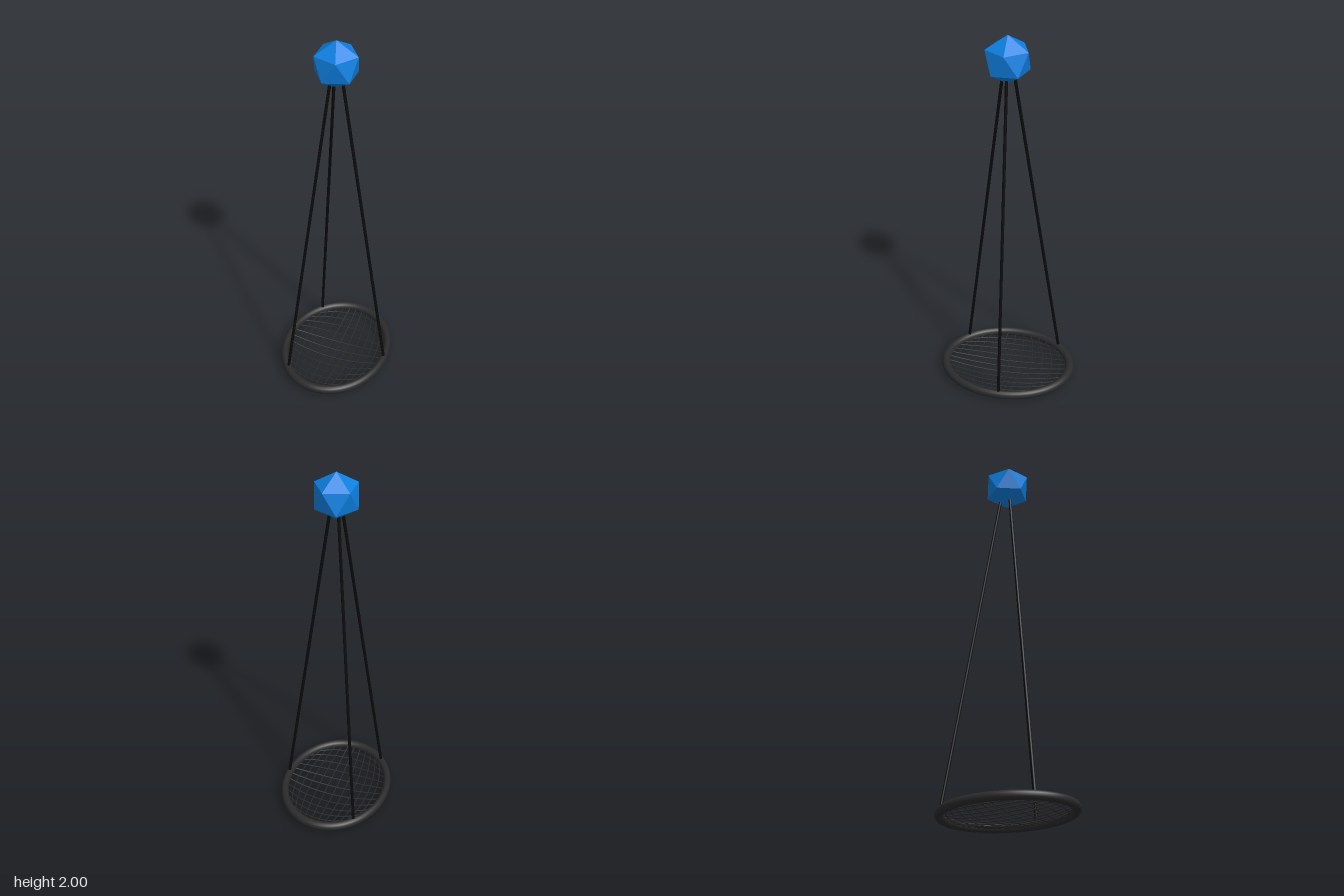
import * as THREE from 'three';

const RIM_X = 0.284, RIM_Z = 0.35, RIM_Y = 0.037;

function mesh(name, geometry, color, flatShading = false) {
  const m = new THREE.Mesh(geometry, new THREE.MeshStandardMaterial({ color, flatShading }));
  m.name = name;
  return m;
}

// Point on the sagging net; a and b are angles across the width and length
function netPoint(a, b) {
  const u = Math.sin(a) / 0.84, v = Math.sin(b) / 0.84;
  const x = 0.321 * Math.sin(a) * Math.sqrt(1 - 0.5 * v * v);
  const z = 0.417 * Math.sin(b) * Math.sqrt(1 - 0.5 * u * u);
  const r2 = (x / RIM_X) ** 2 + (z / RIM_Z) ** 2;
  return { p: new THREE.Vector3(x, RIM_Y - 0.034 * (1 - r2), z), r2 };
}

// One net cord, cut off where it meets the rim
function netCord(fixed, lengthwise) {
  const at = t => (lengthwise ? netPoint(fixed, t) : netPoint(t, fixed));
  let end = 0;
  while (end < 1.2 && at(end).r2 < 1) end += 0.005;
  const points = [];
  for (let i = -8; i <= 8; i++) points.push(at((end * i) / 8).p);
  return new THREE.TubeGeometry(new THREE.CatmullRomCurve3(points), 32, 0.0032, 6);
}

export function createModel() {
  const model = new THREE.Group();
  model.name = 'netSwing';

  // Oval padded rim
  const rim = mesh('rim', new THREE.TorusGeometry(RIM_Z, 0.024, 16, 72).rotateX(Math.PI / 2), 0x2b2b2b);
  rim.scale.x = RIM_X / RIM_Z;
  rim.position.y = RIM_Y;
  model.add(rim);

  // Woven seat net
  const net = new THREE.Group();
  net.name = 'seatNet';
  const step = Math.PI / 20;
  for (let i = -5; i <= 5; i++) {
    net.add(mesh('lengthCord', netCord(i * step, true), 0x2b2b2b));
    net.add(mesh('crossCord', netCord(i * step, false), 0x2b2b2b));
  }
  model.add(net);

  // Three ropes from the rim up into the ball
  for (const [x, z] of [[0.286, 0], [-0.188, 0.262], [-0.188, -0.262]]) {
    const path = new THREE.LineCurve3(
      new THREE.Vector3(x, 0.045, z),
      new THREE.Vector3(x * 0.065, 1.88, z * 0.065));
    model.add(mesh('rope', new THREE.TubeGeometry(path, 1, 0.008, 10), 0x0a0a0a));
  }

  // Faceted ball at the top, standing on a corner
  const golden = (1 + Math.sqrt(5)) / 2;
  const ball = mesh('topBall', new THREE.IcosahedronGeometry(0.125, 0).rotateZ(-Math.atan(1 / golden)), 0x0d7fe0, true);
  ball.position.y = 1.875;
  model.add(ball);

  return model;
}
